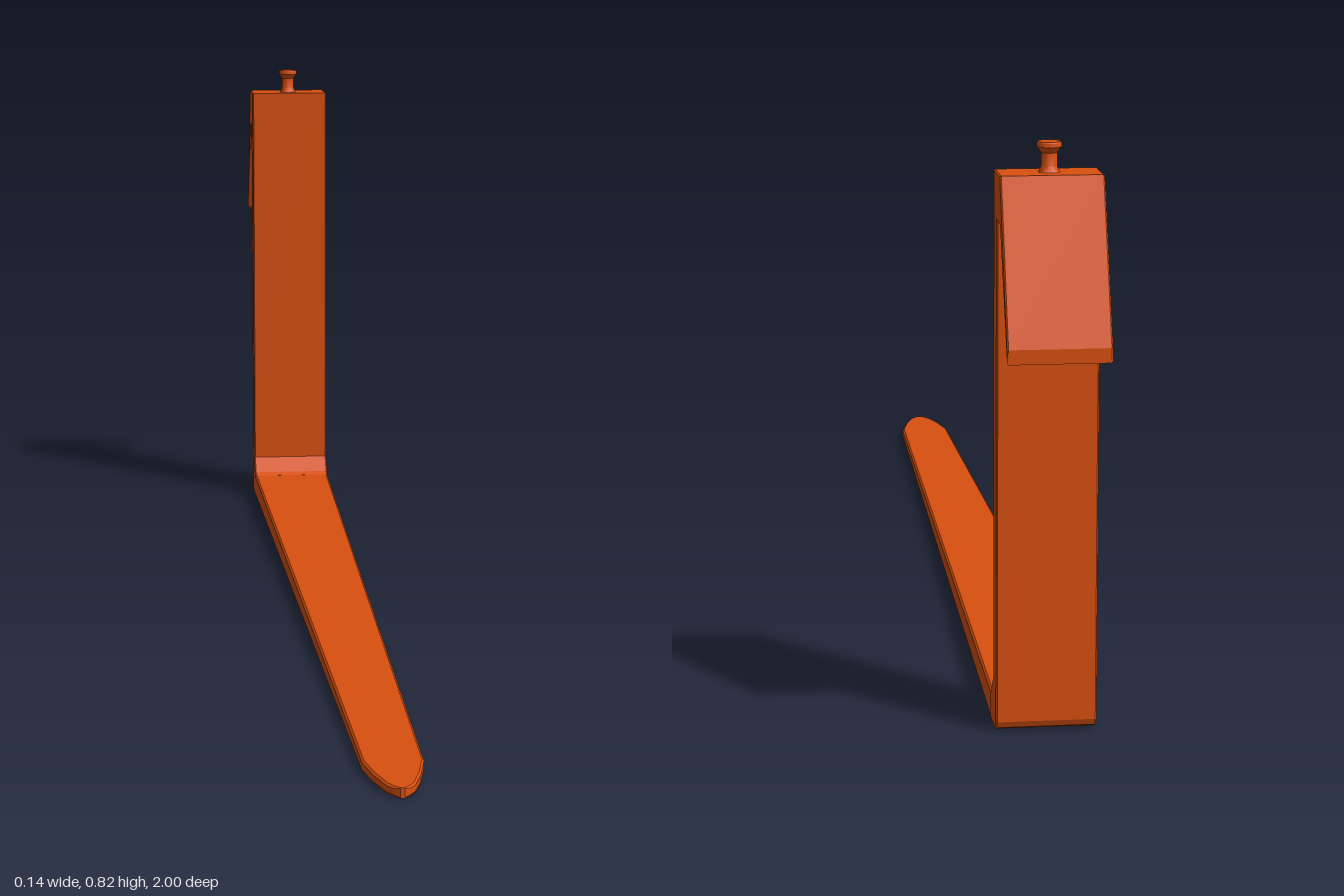
import * as THREE from 'three';
import { toCreasedNormals } from 'three/addons/utils/BufferGeometryUtils.js';

const orange = new THREE.MeshStandardMaterial({ color: 0xd9500f });
orange.name = 'orange paint';

function addPart(group, name, geometry) {
  const mesh = new THREE.Mesh(geometry, orange);
  mesh.name = name;
  group.add(mesh);
  return mesh;
}

// Side profile (z, y) of the upright, its heel and the rear hook, extruded across x
function shankGeometry() {
  const profile = [
    [-0.82, 0], [-0.82, 0.04], [-0.828, 0.045], [-0.85, 0.07], [-0.85, 0.777],
    [-0.918, 0.777], [-1, 0.56], [-1, 0.54], [-0.922, 0.707], [-0.928, 0.713],
    [-0.883, 0.713], [-0.883, 0.014], [-0.879, 0.005], [-0.868, 0],
  ];
  // The underside of the hook runs straight from the blade tip to the flat soffit
  profile.splice(8, 2, [-0.92, 0.711]);
  const shape = new THREE.Shape(profile.map(([z, y]) => new THREE.Vector2(z, y)));
  const bevel = 0.002, width = 0.14;
  const geometry = new THREE.ExtrudeGeometry(shape, {
    depth: width - 2 * bevel, bevelEnabled: true, bevelSegments: 1,
    bevelSize: bevel, bevelThickness: bevel, bevelOffset: -bevel,
  });
  geometry.translate(0, 0, -width / 2 + bevel);
  geometry.rotateY(-Math.PI / 2);
  return geometry;
}

// Tapering blade lofted through chamfered rectangles: [z, half width, thickness]
function bladeGeometry() {
  const stations = [
    [-0.83, 0.07, 0.04], [0.885, 0.043, 0.0165], [0.94, 0.032, 0.0158],
    [0.98, 0.02, 0.0152], [0.993, 0.012, 0.015], [1, 0.003, 0.015],
  ];
  const positions = [], indices = [], sides = 8;
  for (const [z, w, h] of stations) {
    const c = Math.min(0.003, w * 0.4);
    const ring = [
      [w, c], [w, h - c], [w - c, h], [c - w, h],
      [-w, h - c], [-w, c], [c - w, 0], [w - c, 0],
    ];
    for (const [x, y] of ring) positions.push(x, y, z);
  }
  for (let i = 0; i < stations.length - 1; i++) {
    for (let j = 0; j < sides; j++) {
      const a = i * sides + j, b = i * sides + (j + 1) % sides;
      indices.push(a, b, a + sides, b, b + sides, a + sides);
    }
  }
  // End cap of the tip
  const last = (stations.length - 1) * sides;
  for (let j = 1; j < sides - 1; j++) indices.push(last, last + j, last + j + 1);
  const geometry = new THREE.BufferGeometry();
  geometry.setAttribute('position', new THREE.Float32BufferAttribute(positions, 3));
  geometry.setIndex(indices);
  const flat = geometry.toNonIndexed();
  flat.computeVertexNormals();
  return flat;
}

// Locking pin: flared foot, slim stem and a wide flat head
function pinGeometry() {
  const profile = [
    [0.016, -0.002], [0.013, 0.003], [0.011, 0.008], [0.011, 0.026],
    [0.017, 0.034], [0.017, 0.039], [0.016, 0.041], [0, 0.041],
  ];
  const lathe = new THREE.LatheGeometry(profile.map(([r, y]) => new THREE.Vector2(r, y)), 24);
  return toCreasedNormals(lathe, 0.5);
}

export function createModel() {
  const model = new THREE.Group();
  model.name = 'liftFork';
  addPart(model, 'shankAndHook', shankGeometry());
  addPart(model, 'blade', bladeGeometry());
  addPart(model, 'lockingPin', pinGeometry()).position.set(0, 0.777, -0.883);
  return model;
}
